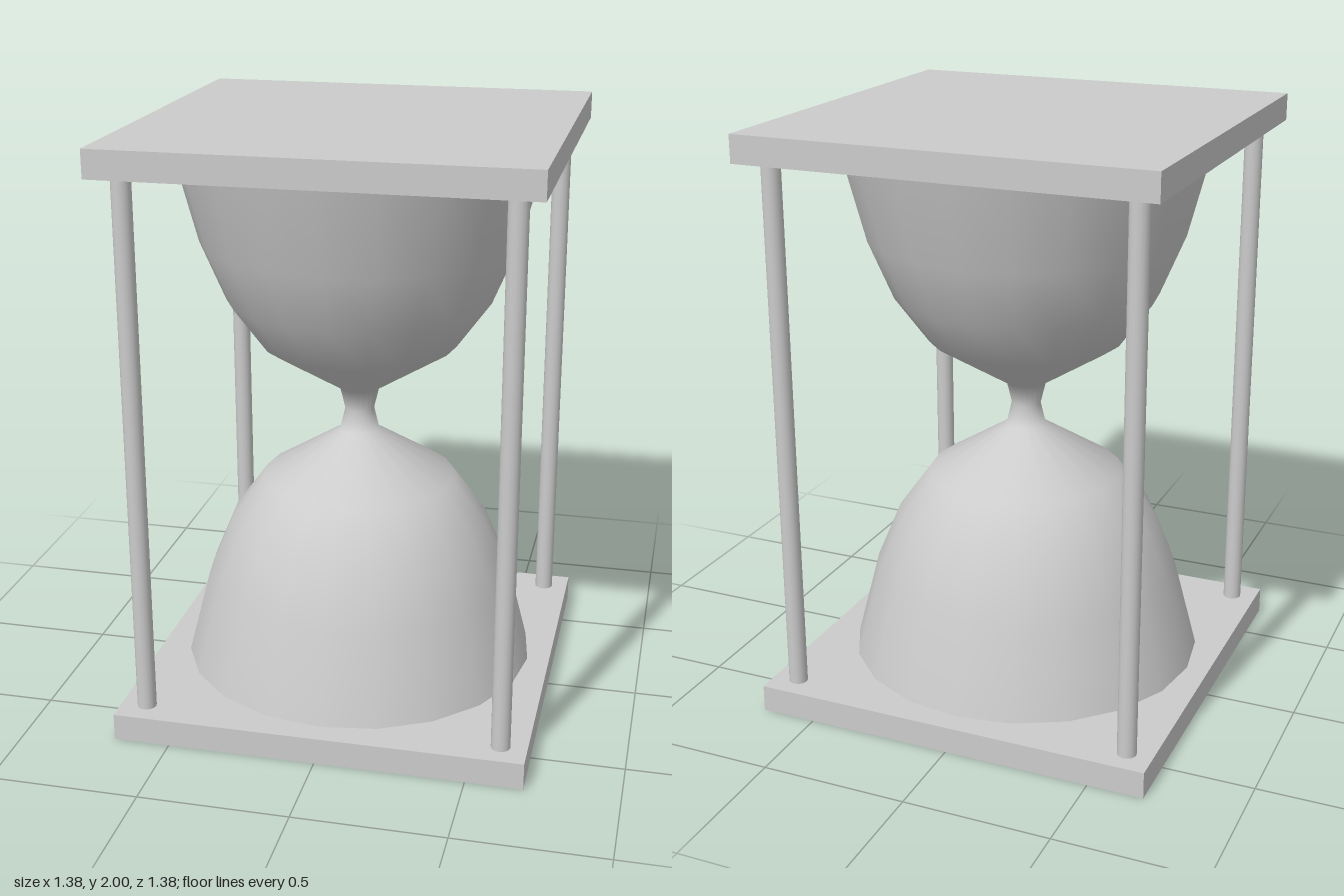
import * as THREE from 'three';

export function createModel() {
  const group = new THREE.Group();
  group.name = 'hourglass';
  const material = new THREE.MeshStandardMaterial({ color: 0xcccccc });

  const add = (name, geometry, x, y, z) => {
    const mesh = new THREE.Mesh(geometry, material);
    mesh.name = name;
    mesh.position.set(x, y, z);
    group.add(mesh);
  };

  const plateSize = 1.38;
  const plateThickness = 0.092;

  // Square end plates
  const plate = new THREE.BoxGeometry(plateSize, plateThickness, plateSize);
  add('bottomPlate', plate, 0, plateThickness / 2, 0);
  add('topPlate', plate, 0, 2 - plateThickness / 2, 0);

  // Four corner posts
  const postHeight = 2 - 2 * plateThickness;
  const post = new THREE.CylinderGeometry(0.032, 0.032, postHeight, 16);
  for (const [side, x] of [['Left', 0.602], ['Right', -0.602]]) {
    add(`front${side}Post`, post, x, 1, 0.602);
    add(`back${side}Post`, post, x, 1, -0.602);
  }

  // Glass: lower half profile as [radius, distance from the waist], mirrored upward
  const half = [
    [0.613, 1 - plateThickness], [0.533, 0.6], [0.449, 0.4],
    [0.334, 0.242], [0.068, 0.075],
  ];
  const profile = [
    ...half.map(([r, d]) => new THREE.Vector2(r, -d)),
    new THREE.Vector2(0.05, 0),
    ...half.toReversed().map(([r, d]) => new THREE.Vector2(r, d)),
  ];
  const glass = new THREE.LatheGeometry(profile, 20);
  add('glassBulbs', glass, 0, 1, 0);

  return group;
}
